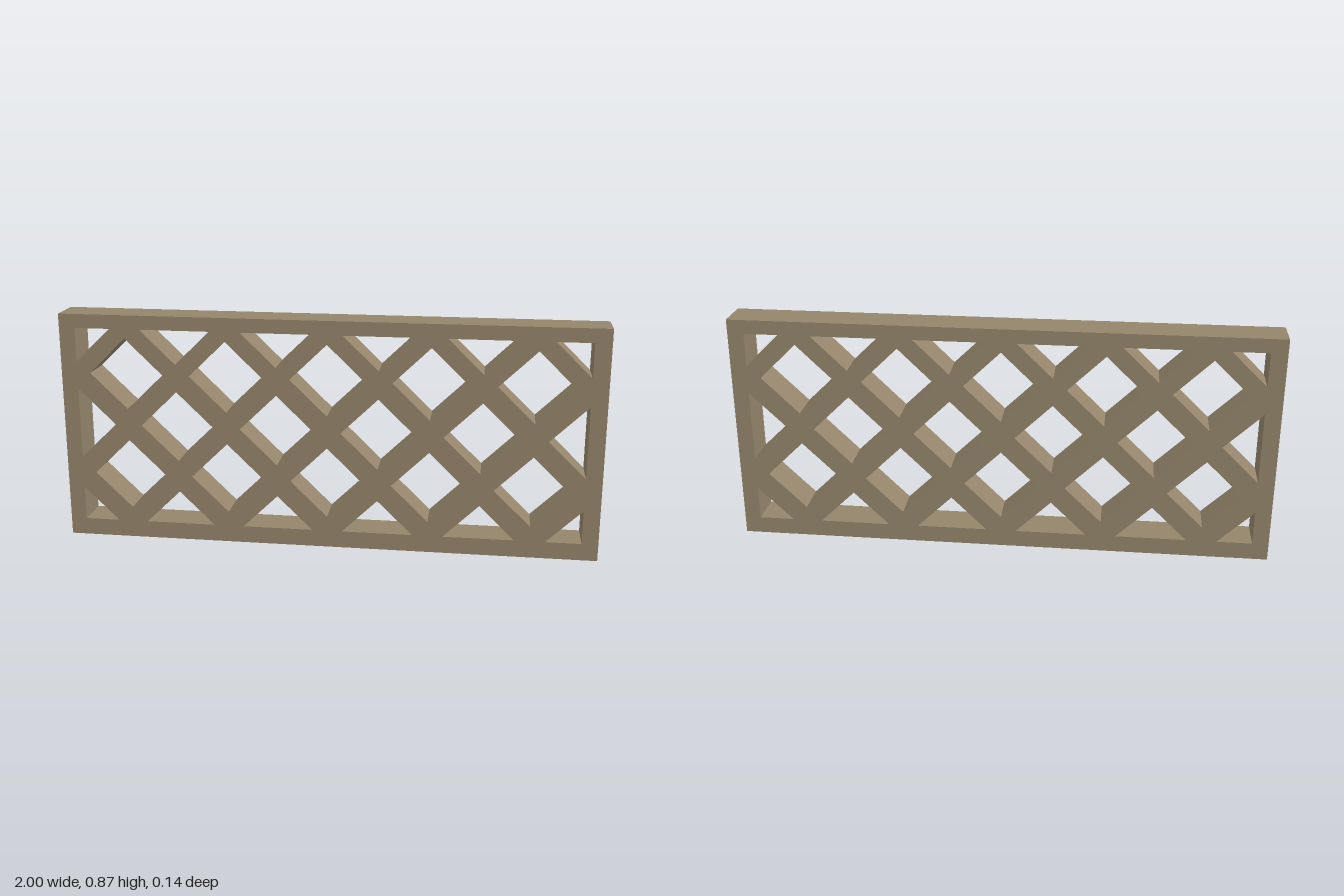
import * as THREE from 'three';

const WIDTH = 2, HEIGHT = 0.865, DEPTH = 0.136;
// Inner edges of the frame
const INNER = { x: 0.94, bottom: 0.064, top: 0.813 };
// Diamond openings: spacing, half sizes and row heights
const PITCH = 0.376, HALF_W = 0.138, HALF_H = 0.134;
const ROWS = [0.058, 0.254, 0.448, 0.644, 0.82];

// Keeps the part of a polygon where sign * point[axis] <= sign * limit
function clip(points, axis, limit, sign) {
  const out = [];
  points.forEach((a, i) => {
    const b = points[(i + 1) % points.length];
    const da = sign * (limit - a[axis]), db = sign * (limit - b[axis]);
    if (da >= 0) out.push(a);
    if ((da > 0 && db < 0) || (da < 0 && db > 0)) out.push(a.clone().lerp(b, da / (da - db)));
  });
  return out;
}

// One diamond opening, cut off where it meets the frame
function opening(x, y) {
  let points = [[0, -HALF_H], [HALF_W, 0], [0, HALF_H], [-HALF_W, 0]]
    .map(([dx, dy]) => new THREE.Vector2(x + dx, y + dy));
  points = clip(points, 'x', INNER.x, 1);
  points = clip(points, 'x', -INNER.x, -1);
  points = clip(points, 'y', INNER.top, 1);
  return clip(points, 'y', INNER.bottom, -1);
}

export function createModel() {
  const model = new THREE.Group();
  model.name = 'latticePanel';
  const wood = new THREE.MeshStandardMaterial({ color: 0x94856b });
  wood.name = 'weathered wood';

  // Outer frame outline
  const w = WIDTH / 2;
  const outline = new THREE.Shape([
    new THREE.Vector2(-w, 0), new THREE.Vector2(w, 0),
    new THREE.Vector2(w, HEIGHT), new THREE.Vector2(-w, HEIGHT),
  ]);

  // Staggered openings leave the crossing slats between them
  ROWS.forEach((y, row) => {
    const start = row % 2 ? -2 : -2.5;
    for (let column = start; column <= -start; column++) {
      outline.holes.push(new THREE.Path(opening(column * PITCH, y)));
    }
  });

  const geometry = new THREE.ExtrudeGeometry(outline, { depth: DEPTH, bevelEnabled: false });
  geometry.translate(0, 0, -DEPTH / 2);
  const lattice = new THREE.Mesh(geometry, wood);
  lattice.name = 'frameAndLattice';
  model.add(lattice);
  return model;
}
